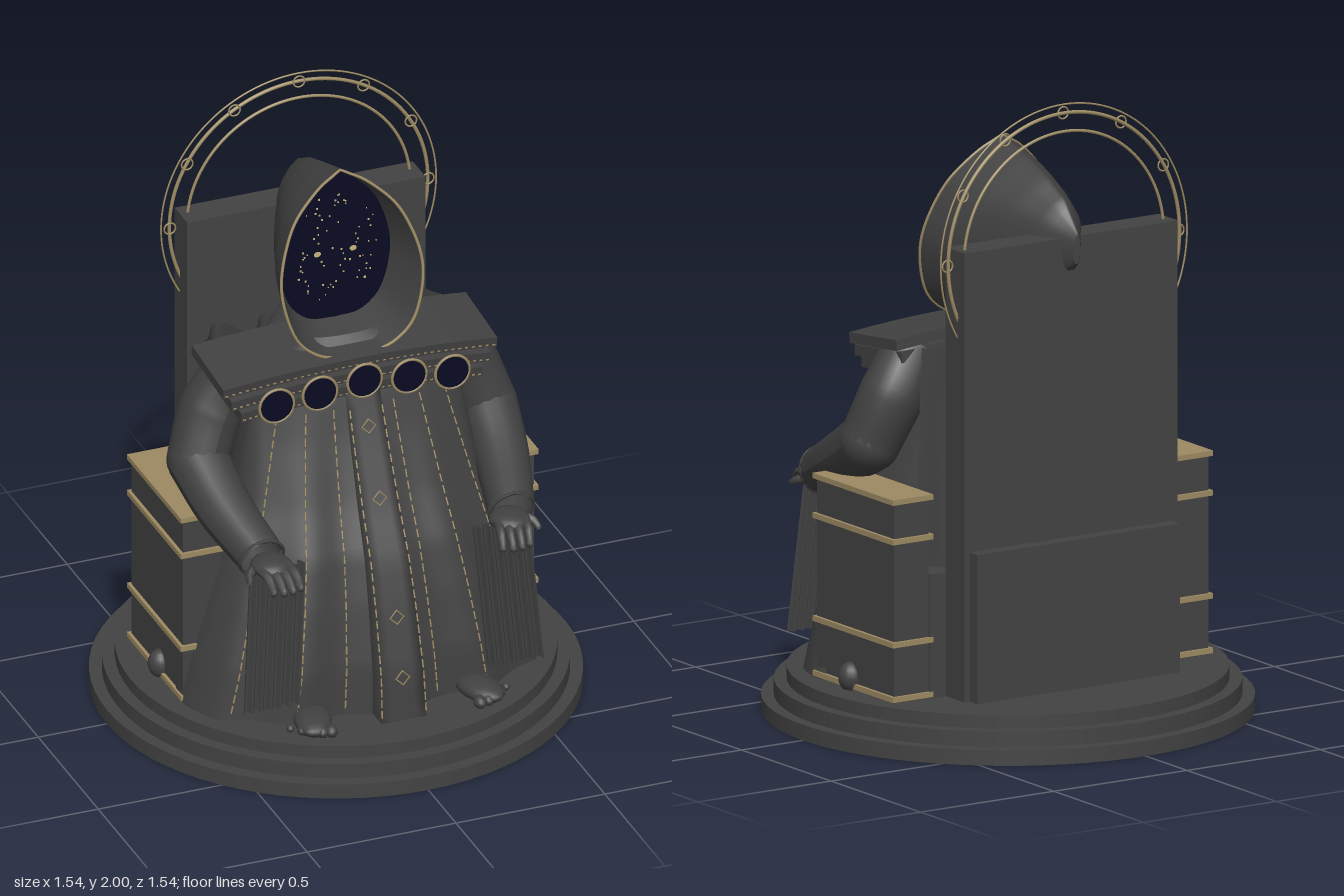
import * as THREE from 'three';

const mat = (name, color) => {
  const m = new THREE.MeshStandardMaterial({ color, side: THREE.DoubleSide });
  m.name = name;
  return m;
};
const lerp = THREE.MathUtils.lerp;

// Interpolates rows of [key, ...values] sorted by key
function rows(table, k) {
  let i = 0;
  while (i < table.length - 2 && k > table[i + 1][0]) i++;
  const a = table[i], b = table[i + 1];
  const t = THREE.MathUtils.clamp((k - a[0]) / (b[0] - a[0]), 0, 1);
  return a.slice(1).map((v, j) => lerp(v, b[j + 1], t));
}

// Surface from fn(u, v) -> [x, y, z]
function grid(nu, nv, fn) {
  const pos = [], idx = [];
  for (let j = 0; j <= nv; j++) for (let i = 0; i <= nu; i++) pos.push(...fn(i / nu, j / nv));
  for (let j = 0; j < nv; j++) for (let i = 0; i < nu; i++) {
    const a = j * (nu + 1) + i, b = a + nu + 1;
    idx.push(a, a + 1, b, a + 1, b + 1, b);
  }
  const g = new THREE.BufferGeometry();
  g.setAttribute('position', new THREE.Float32BufferAttribute(pos, 3));
  g.setIndex(idx);
  g.computeVertexNormals();
  return g;
}

// Tube along points with a radius at each end and middle
function taper(points, radii, seg = 20, sides = 16) {
  const curve = new THREE.CatmullRomCurve3(points.map(p => new THREE.Vector3(...p)));
  const g = new THREE.TubeGeometry(curve, seg, 1, sides);
  const p = g.attributes.position, v = new THREE.Vector3();
  const table = radii.map((r, i) => [i / (radii.length - 1), r]);
  for (let i = 0; i < p.count; i++) {
    const t = Math.floor(i / (sides + 1)) / seg, c = curve.getPointAt(t);
    v.fromBufferAttribute(p, i).sub(c).multiplyScalar(rows(table, t)[0]).add(c);
    p.setXYZ(i, v.x, v.y, v.z);
  }
  g.computeVertexNormals();
  return g;
}

// Robe: height, half width, front depth
const robeTable = [[0.14, 0.6, 0.49], [0.3, 0.56, 0.48], [0.5, 0.5, 0.44], [0.65, 0.45, 0.4],
  [0.8, 0.41, 0.335], [1, 0.37, 0.26], [1.15, 0.34, 0.21], [1.22, 0.28, 0.17], [1.28, 0.13, 0.1]];
function robePoint(a, y) {
  const [hw, zf] = rows(robeTable, y), zc = Math.min(0.14, zf - 0.05), c = Math.cos(a);
  const fold = 0.022 * Math.cos(a * 11) * THREE.MathUtils.clamp((1.1 - y) / 0.8, 0, 1);
  if (c >= 0) return [hw * Math.sin(a), y, zc + (zf - zc) * Math.pow(c, 0.75) + fold * c];
  return [lerp(hw, Math.min(hw, 0.42), Math.min(1, -c * 3)) * Math.sin(a), y, zc + 0.34 * c];
}
const robeZ = (x, y) => robePoint(Math.asin(x / rows(robeTable, y)[0]), y)[2];

// Pointed oval half outline: [share of height, share of half width]
const oval = new THREE.CatmullRomCurve3([[0, 0], [0.5, 0.025], [0.86, 0.17], [1, 0.44], [0.8, 0.72], [0.38, 0.91], [0, 1]]
  .map(([x, t]) => new THREE.Vector3(x, t, 0)));
const ovalAt = u => { // whole loop, from the top tip around and back
  const p = oval.getPoint(1 - Math.abs(1 - 2 * u));
  return [u < 0.5 ? p.x : -p.x, p.y];
};
// Hood stations: top y, top z, bottom y, bottom z, half width
const hoodTable = [[0, 1.83, 0.035, 1.245, 0.17, 0.237], [0.28, 1.79, -0.1, 1.26, 0.06, 0.21],
  [0.55, 1.745, -0.22, 1.31, -0.1, 0.155], [0.8, 1.69, -0.32, 1.39, -0.25, 0.095], [1, 1.6, -0.39, 1.5, -0.385, 0.012]];
function hoodPoint(u, s) {
  const [ty, tz, by, bz, hw] = rows(hoodTable, s), [x, t] = ovalAt(u);
  return [x * hw, lerp(by, ty, t), lerp(bz, tz, Math.pow(Math.max(t, 0), 1.6))];
}

export function createModel() {
  const root = new THREE.Group();
  const stone = mat('charcoal stone', 0x434343), cloth = mat('charcoal cloth', 0x414141);
  const gold = mat('old gold', 0x9c8a62), navy = mat('night navy', 0x0a0a24), pale = mat('pale star', 0xc9b57c);
  const add = (name, geo, m, x = 0, y = 0, z = 0, parent = root) => {
    const o = new THREE.Mesh(geo, m);
    o.name = name;
    o.position.set(x, y, z);
    parent.add(o);
    return o;
  };
  const box = (name, m, w, h, d, x, y, z) => add(name, new THREE.BoxGeometry(w, h, d), m, x, y, z);

  // Stepped round base
  [[0.77, 0.05], [0.73, 0.05], [0.69, 0.042]].forEach(([r, h], i) =>
    add('baseStep', new THREE.CylinderGeometry(r, r, h, 72), stone, 0, i * 0.05 + h / 2, 0));

  // Throne
  box('throneBack', stone, 0.8, 1.44, 0.105, 0, 0.86, -0.3);
  box('throneRearPanel', stone, 0.76, 0.48, 0.045, 0, 0.38, -0.373);
  box('throneSeat', stone, 0.92, 0.4, 0.42, 0, 0.34, -0.04);
  for (const s of [-1, 1]) {
    box('armrest', stone, 0.13, 0.64, 0.43, s * 0.525, 0.46, -0.027);
    for (const y of [0.155, 0.33, 0.66, 0.787]) box('armrestBand', gold, 0.152, 0.017, 0.45, s * 0.525, y, -0.027);
    const boss = add('armrestBoss', new THREE.SphereGeometry(0.04, 16, 10), stone, s * 0.59, 0.18, 0);
    boss.scale.y = 1.2;
  }

  // Halo of open arcs with small rings
  const arc = Math.PI * 4 / 3;
  for (const [r, t] of [[0.462, 0.003], [0.434, 0.006], [0.375, 0.005]]) {
    add('haloArc', new THREE.TorusGeometry(r, t, 8, 80, arc), gold, 0, 1.535, -0.312).rotation.z = -Math.PI / 6;
  }
  for (let i = 0; i < 7; i++) {
    const a = i * Math.PI / 6;
    add('haloRing', new THREE.TorusGeometry(0.019, 0.003, 6, 24), gold, 0.434 * Math.cos(a), 1.535 + 0.434 * Math.sin(a), -0.308);
  }

  // Robe, rear cape and raised front panel
  add('robe', grid(120, 36, (u, v) => robePoint((u * 2 - 1) * Math.PI, lerp(0.14, 1.28, v))), cloth);
  add('cape', grid(48, 6, (u, v) => {
    const x = (u * 2 - 1) * lerp(0.44, 0.4, v);
    return [x, lerp(0.3, 1.23, v), -0.16 + 0.05 * Math.cos(u * 31)];
  }), cloth);
  const panelZ = y => robeZ(0, y) + 0.015 + 0.04 * (1.15 - y);
  add('frontPanel', grid(6, 24, (u, v) => {
    const y = lerp(0.145, 1.14, v), edge = u === 0 || u === 1;
    const x = THREE.MathUtils.clamp((u * 6 - 3) / 2, -1, 1);
    return [x * lerp(0.075, 0.055, v), y, edge ? robeZ(0, y) - 0.03 : panelZ(y)];
  }), cloth);

  // Dashed gold seams
  const dash = new THREE.BoxGeometry(0.004, 0.026, 0.004);
  for (const s of [-1, 1]) for (const [top, bottom] of [[0.054, 0.074], [0.1, 0.155], [0.19, 0.32], [0.28, 0.5]]) {
    const at = k => {
      const y = lerp(1.1, 0.16, k), x = lerp(top, bottom, k);
      return new THREE.Vector3(s * x, y, (top < 0.06 ? panelZ(y) : robeZ(x, y)) + 0.003);
    };
    for (let i = 0; i < 26; i++) {
      const p = at((i + 0.5) / 26), d = at((i + 0.2) / 26).sub(at((i + 0.8) / 26)).normalize();
      add('seamStitch', dash, gold, p.x, p.y, p.z).quaternion.setFromUnitVectors(new THREE.Vector3(0, 1, 0), d);
    }
  }
  for (const y of [0.29, 0.48, 0.83, 1.04]) {
    add('diamondOrnament', new THREE.TorusGeometry(0.023, 0.003, 5, 4), gold, 0, y, panelZ(y) + 0.005).rotation.x = -0.2;
  }

  // Layered shoulder mantle
  [[0.92, 1.222, 0.07], [0.87, 1.178, 0.078], [0.81, 1.135, 0.084]].forEach(([w, y, z]) => {
    const g = new THREE.BoxGeometry(w, 0.034, 0.265, 16, 1, 1), p = g.attributes.position;
    for (let i = 0; i < p.count; i++) p.setY(i, p.getY(i) + 0.025 * (1 - (2 * p.getX(i) / w) ** 2));
    g.computeVertexNormals();
    add('mantleLayer', g, cloth, 0, y, z).rotation.x = 0.1;
    for (let i = 0; i < 40; i++) {
      const k = (i + 0.5) / 20 - 1;
      box('mantleStitch', gold, 0.01, 0.004, 0.004, k * w / 2, y - 0.022 + 0.025 * (1 - k * k), z + 0.132);
    }
  });

  // Row of medallions
  for (const [x, y] of [[-0.295, 1.155], [-0.15, 1.17], [0, 1.185], [0.15, 1.17], [0.295, 1.155]]) {
    add('medallion', new THREE.CylinderGeometry(0.056, 0.056, 0.009, 32), navy, x, y, 0.236).rotation.x = Math.PI / 2;
    add('medallionRim', new THREE.TorusGeometry(0.057, 0.005, 6, 32), gold, x, y, 0.238);
  }

  // Hood with gold edge
  add('hood', grid(64, 20, hoodPoint), cloth);
  const rim = Array.from({ length: 48 }, (_, i) => new THREE.Vector3(...hoodPoint(i / 48, 0)));
  add('hoodEdge', new THREE.TubeGeometry(new THREE.CatmullRomCurve3(rim, true), 96, 0.005, 6, true), gold);

  // Starry face
  const outline = Array.from({ length: 48 }, (_, i) => {
    const [x, t] = ovalAt(i / 48);
    return new THREE.Vector2(x * 0.187, lerp(1.285, 1.81, t));
  });
  add('nightFace', new THREE.ShapeGeometry(new THREE.Shape(outline)), navy, 0, 0, -0.012);
  // Inner lining from the hood edge to the face
  add('hoodLining', grid(64, 4, (u, v) => {
    const a = hoodPoint(u, 0), [x, t] = ovalAt(u);
    const b = [x * 0.187, lerp(1.285, 1.81, t), -0.014];
    return a.map((c, i) => lerp(c, b[i], v) * (i === 0 ? 0.995 : 1));
  }), cloth);
  let seed = 7;
  const rand = () => (seed = (seed * 16807) % 2147483647) / 2147483647;
  for (let i = 0; i < 70; i++) {
    const a = rand() * Math.PI * 2, r = Math.sqrt(rand()) * 0.9, w = 0.003 + rand() * 0.003;
    box('star', pale, w, w, 0.003, Math.cos(a) * r * 0.16, 1.53 + Math.sin(a) * r * 0.22, -0.009);
  }
  for (const s of [-1, 1]) {
    const eye = add('eye', new THREE.CircleGeometry(0.012, 16), pale, s * 0.06, 1.52, -0.006);
    eye.scale.y = 0.8;
  }

  // Arms, hands, hanging drapes and feet
  for (const s of [-1, 1]) {
    const side = new THREE.Group();
    side.name = s > 0 ? 'leftLimbs' : 'rightLimbs';
    side.scale.x = s;
    root.add(side);
    const put = (name, geo, m, x, y, z) => add(name, geo, m, x, y, z, side);
    put('upperSleeve', taper([[0.34, 1.2, 0.03], [0.42, 1.07, 0.015], [0.485, 0.91, 0.05]], [0.09, 0.105, 0.098]), cloth);
    put('elbow', new THREE.SphereGeometry(0.098, 20, 14), cloth, 0.485, 0.91, 0.05);
    put('foreSleeve', taper([[0.485, 0.91, 0.05], [0.465, 0.82, 0.22], [0.42, 0.735, 0.42]], [0.098, 0.088, 0.075]), cloth);
    put('cuff', new THREE.TorusGeometry(0.073, 0.006, 6, 24), cloth, 0.42, 0.735, 0.42).rotation.x = 0.35;
    put('palm', new THREE.SphereGeometry(1, 18, 12), cloth, 0.4, 0.72, 0.45).scale.set(0.065, 0.03, 0.07);
    for (let i = 0; i < 4; i++) {
      const x = 0.345 + i * 0.03, reach = 0.55 + (i === 1 || i === 2 ? 0.012 : 0);
      put('finger', taper([[x + 0.01, 0.725, 0.47], [x, 0.712, 0.52], [x - 0.005, 0.675, reach]], [0.016, 0.015, 0.012], 8, 8), cloth);
      put('fingertip', new THREE.SphereGeometry(0.012, 8, 6), cloth, x - 0.005, 0.675, reach);
    }
    put('thumb', taper([[0.43, 0.715, 0.43], [0.475, 0.705, 0.46], [0.485, 0.69, 0.49]], [0.02, 0.016, 0.01], 8, 8), cloth);
    put('sleeveDrape', grid(60, 8, (u, v) => [
      lerp(0.28, 0.47, u) + 0.035 * v, lerp(0.7, 0.22, v), 0.43 + 0.04 * v + 0.013 * Math.cos(u * Math.PI * 12)]), cloth);
    const foot = put('foot', new THREE.SphereGeometry(1, 18, 12), cloth, 0.28, 0.17, 0.5);
    foot.scale.set(0.06, 0.033, 0.1);
    foot.rotation.y = 0.3;
    for (let i = 0; i < 5; i++) {
      const toe = put('toe', new THREE.SphereGeometry(0.021 - i * 0.002, 10, 8), cloth, 0.25 + i * 0.028, 0.165, 0.58 - i * 0.01 * i * 0.4);
      toe.scale.z = 1.3;
    }
  }
  return root;
}
